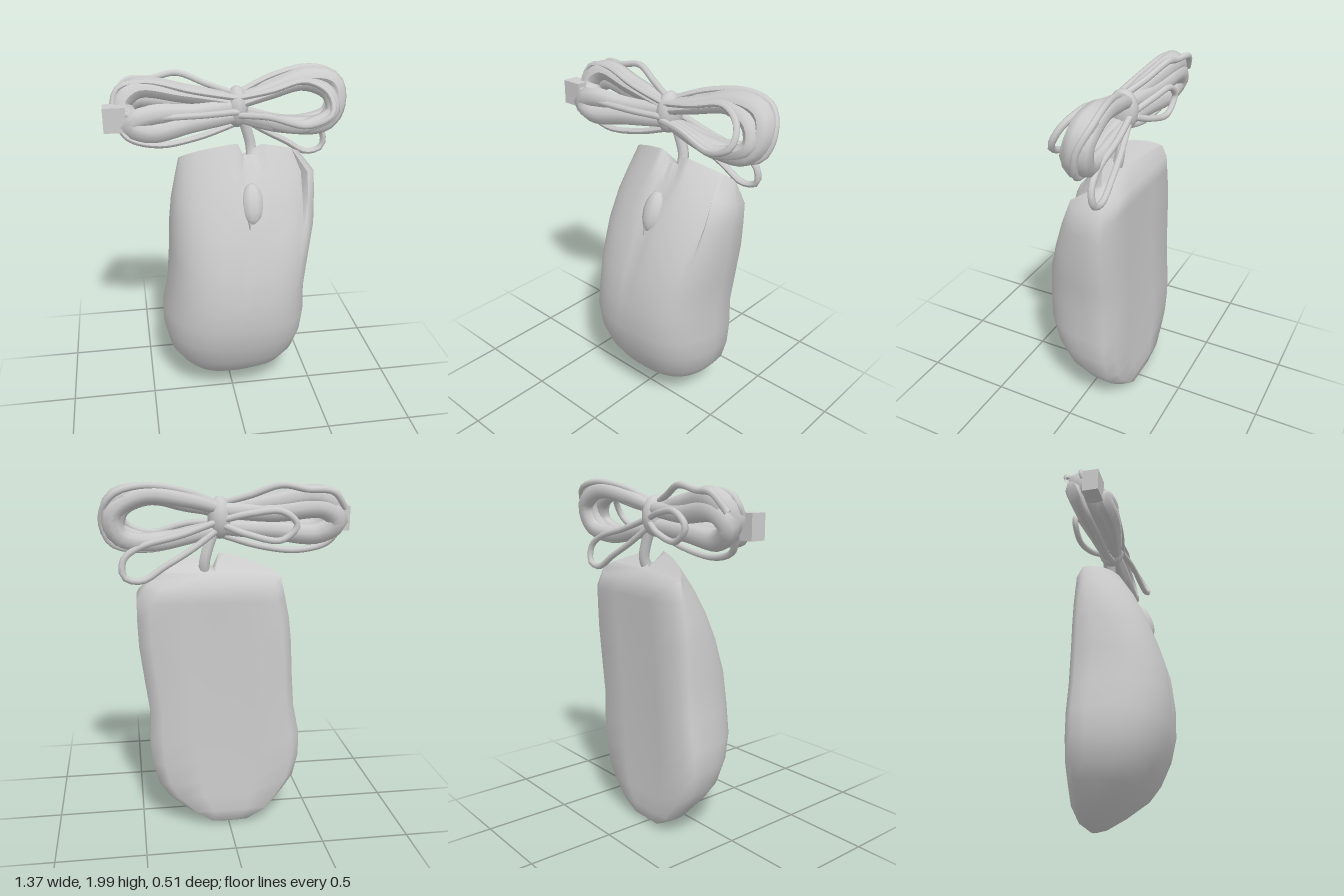
import * as THREE from 'three';
import { toCreasedNormals } from 'three/addons/utils/BufferGeometryUtils.js';

const material = new THREE.MeshStandardMaterial({ color: 0xcccccc, side: THREE.DoubleSide });

function add(group, name, geometry) {
  const mesh = new THREE.Mesh(geometry, material);
  mesh.name = name;
  group.add(mesh);
  return mesh;
}

// Shell cross-sections: [y, xMin, xMax, zFront, zBack, tilt, squareness at -x, squareness at +x]
const SECTIONS = [
  [0.005, -0.05, 0.03, -0.16, -0.20, 0, 2.5, 2.5],
  [0.03, -0.12, 0.12, -0.11, -0.235, 0, 2.5, 2.5],
  [0.10, -0.24, 0.23, -0.01, -0.25, 0, 2.5, 2.7],
  [0.20, -0.32, 0.345, 0.11, -0.25, 0, 2.5, 2.8],
  [0.29, -0.38, 0.405, 0.17, -0.25, 0, 2.5, 2.9],
  [0.42, -0.41, 0.44, 0.225, -0.25, 0, 2.5, 3],
  [0.56, -0.41, 0.45, 0.255, -0.25, 0, 2.5, 3.1],
  [0.73, -0.375, 0.445, 0.255, -0.25, 0, 2.6, 3.1],
  [0.92, -0.36, 0.47, 0.23, -0.25, 0, 2.7, 3.1],
  [1.12, -0.35, 0.495, 0.17, -0.25, 0, 2.6, 2.9],
  [1.25, -0.335, 0.50, 0.11, -0.25, 0.1, 2.3, 2.3],
  [1.36, -0.31, 0.50, 0.04, -0.25, 0.3, 1.9, 1.8],
  [1.45, -0.285, 0.43, -0.055, -0.25, 0.8, 1.4, 1.35],
];

// Domed front, softly bevelled and slightly dished back, with notch, seam and raised side rim
function shellGeometry() {
  const N = 32;
  const pos = [], idx = [];
  const rings = SECTIONS.map(([y, x0, x1, zf, zb, tilt, roundA, roundB], r) => {
    const cx = (x0 + x1) / 2, hw = (x1 - x0) / 2;
    const zs = zb + Math.min(0.045, (zf - zb) * 0.25);
    const top = r === SECTIONS.length - 1;
    const ring = [];
    for (let i = 0; i <= N; i++) {
      const u = Math.cos((i / N) * Math.PI);
      const x = cx + hw * u;
      const rim = u > 0.8 && y > 1 && !top;
      const n = rim ? 3.5 : u < 0 ? roundA : roundB;
      let z = zs + (zf - zs) * Math.max(0, 1 - Math.abs(u) ** n) ** (1 / n);
      if (i === N / 2 && y > 0.75) z -= 0.014;
      const inNotch = Math.abs(x - 0.11) < 0.065;
      if (inNotch && r === SECTIONS.length - 2) z -= 0.02;
      let py = y + tilt * (z - zb);
      if (top && inNotch) py -= 0.065;
      ring.push([x, py, z]);
    }
    const dish = 0.015 * Math.sin(Math.PI * Math.min(1, y / 1.45));
    for (const u of [-0.88, -0.4, 0, 0.4, 0.84]) {
      ring.push([cx + hw * u, y, zb + dish * (1 - Math.abs(u)) ]);
    }
    return ring;
  });
  const M = rings[0].length;
  rings.forEach((ring) => ring.forEach((p) => pos.push(...p)));
  for (let r = 0; r < rings.length - 1; r++) {
    for (let j = 0; j < M; j++) {
      const k = (j + 1) % M, a = r * M, b = a + M;
      idx.push(a + j, b + j, a + k, a + k, b + j, b + k);
    }
  }
  // End caps
  for (const r of [0, rings.length - 1]) {
    const c = [0, 1, 2].map((d) => rings[r].reduce((s, p) => s + p[d], 0) / M);
    const ci = pos.length / 3;
    if (r) c[1] -= 0.02;
    pos.push(...c);
    for (let j = 0; j < M; j++) {
      const a = r * M + j, b = r * M + ((j + 1) % M);
      if (r) idx.push(ci, b, a);
      else idx.push(ci, a, b);
    }
  }
  const g = new THREE.BufferGeometry();
  g.setAttribute('position', new THREE.Float32BufferAttribute(pos, 3));
  g.setIndex(idx);
  return toCreasedNormals(g, 1.2);
}

// Cord strand: a tube pinched at both ends and scaled in z
function strand(points, radius, pinch = 1, depth = 1) {
  const curve = new THREE.CatmullRomCurve3(points.map((p) => new THREE.Vector3(...p)));
  const seg = 36, sides = 8;
  const g = new THREE.TubeGeometry(curve, seg, radius, sides);
  const p = g.attributes.position, v = new THREE.Vector3();
  for (let i = 0; i <= seg; i++) {
    const c = curve.getPointAt(i / seg);
    const s = pinch + (1 - pinch) * Math.sin((i / seg) * Math.PI) ** 0.7;
    for (let j = 0; j <= sides; j++) {
      const n = i * (sides + 1) + j;
      v.fromBufferAttribute(p, n).sub(c).multiplyScalar(s);
      v.z *= depth;
      v.add(c);
      p.setXYZ(n, v.x, v.y, v.z);
    }
  }
  g.computeVertexNormals();
  return g;
}

export function createModel() {
  const model = new THREE.Group();

  // Mouse body
  const mouse = new THREE.Group();
  mouse.name = 'mouse';
  model.add(mouse);
  add(mouse, 'shell', shellGeometry());

  // Wheel hump with its pointed surround
  const wheel = add(mouse, 'scrollWheel', new THREE.SphereGeometry(1, 10, 8));
  wheel.scale.set(0.065, 0.12, 0.055);
  wheel.rotation.x = -0.35;
  wheel.position.set(0.1, 1.29, 0.08);
  const surround = add(mouse, 'wheelSurround', new THREE.ConeGeometry(0.06, 0.12, 4));
  surround.rotation.x = Math.PI - 0.4;
  surround.scale.z = 0.4;
  surround.position.set(0.08, 1.19, 0.125);
  add(mouse, 'cordExit', strand([[0.12, 1.44, -0.09], [0.125, 1.56, -0.13], [0.1, 1.66, -0.13], [0.06, 1.76, -0.12]], 0.03));

  // Folded cord, gathered at a knot
  const cord = new THREE.Group();
  cord.name = 'cordBundle';
  model.add(cord);
  const K = (dy, z) => [0.04, 1.79 + dy, z];

  // Thick folds: [path, radius, depth]
  const folds = [
    // towards -x
    [[K(0.04, -0.1), [-0.25, 1.88, -0.13], [-0.5, 1.91, -0.16], [-0.59, 1.83, -0.13], [-0.5, 1.73, -0.07], [-0.25, 1.74, -0.06], K(-0.03, -0.09)], 0.062, 1.15],
    [[K(0.05, -0.14), [-0.25, 1.83, -0.16], [-0.52, 1.85, -0.18], [-0.6, 1.78, -0.16], [-0.5, 1.71, -0.13], [-0.25, 1.73, -0.13], K(-0.04, -0.13)], 0.06, 0.9],
    [[K(0.02, -0.08), [-0.22, 1.79, -0.05], [-0.43, 1.8, -0.01], [-0.55, 1.75, -0.02], [-0.45, 1.71, 0], [-0.22, 1.74, -0.03], K(-0.03, -0.08)], 0.058, 0.9],
    // towards +x
    [[K(0.05, -0.1), [0.22, 1.88, -0.13], [0.43, 1.94, -0.17], [0.59, 1.91, -0.17], [0.62, 1.8, -0.15], [0.55, 1.69, -0.12], [0.3, 1.69, -0.1], K(-0.04, -0.1)], 0.055, 1.2],
    [[K(0.06, -0.14), [0.22, 1.9, -0.17], [0.46, 1.93, -0.2], [0.61, 1.84, -0.2], [0.58, 1.72, -0.18], [0.4, 1.68, -0.15], [0.2, 1.71, -0.14], K(-0.05, -0.13)], 0.05, 0.9],
    [[K(0.03, -0.07), [0.22, 1.87, -0.09], [0.42, 1.91, -0.12], [0.56, 1.85, -0.11], [0.58, 1.75, -0.09], [0.4, 1.68, -0.07], [0.2, 1.72, -0.07], K(-0.03, -0.08)], 0.042, 1],
  ];
  folds.forEach(([pts, r, depth]) => add(cord, 'cordFold', strand(pts, r, 0.6, depth)));

  // Single cords lying loose around the folds
  const loose = [
    [K(0.08, -0.1), [-0.12, 1.92, -0.16], [-0.28, 1.975, -0.21], [-0.42, 1.95, -0.21], [-0.55, 1.94, -0.23], [-0.63, 1.85, -0.2]],
    [K(0.07, -0.06), [-0.2, 1.9, -0.08], [-0.45, 1.95, -0.12], [-0.6, 1.92, -0.13], [-0.63, 1.83, -0.1], [-0.52, 1.8, 0], [-0.2, 1.79, 0], K(0, -0.04)],
    [K(-0.08, -0.1), [-0.18, 1.64, -0.09], [-0.4, 1.61, -0.08], [-0.56, 1.65, -0.1], [-0.62, 1.73, -0.13]],
    [K(0.07, -0.06), [0.22, 1.89, -0.06], [0.42, 1.93, -0.08], [0.54, 1.87, -0.03], [0.55, 1.77, 0.02], [0.42, 1.71, 0.02], [0.2, 1.76, -0.01], K(-0.02, -0.04)],
    [K(0.08, -0.12), [0.25, 1.95, -0.17], [0.46, 1.98, -0.22], [0.6, 1.94, -0.23], [0.665, 1.82, -0.18], [0.62, 1.68, -0.15], [0.45, 1.64, -0.13], [0.2, 1.68, -0.12], K(-0.06, -0.13)],
    [K(-0.04, -0.15), [0.2, 1.64, -0.18], [0.34, 1.56, -0.2], [0.47, 1.485, -0.21], [0.56, 1.51, -0.21], [0.56, 1.6, -0.2], [0.48, 1.66, -0.19], [0.25, 1.72, -0.18], K(0, -0.16)],
    [K(0, -0.16), [-0.12, 1.83, -0.21], [-0.28, 1.84, -0.235], [-0.36, 1.77, -0.235], [-0.28, 1.69, -0.23], [-0.1, 1.72, -0.21], K(-0.02, -0.16)],
  ];
  loose.forEach((pts) => add(cord, 'looseCord', strand(pts, 0.018)));

  // Tight knot in the middle
  const knot = add(cord, 'knot', new THREE.SphereGeometry(1, 12, 10));
  knot.scale.set(0.065, 0.115, 0.085);
  knot.position.set(0.04, 1.8, -0.11);

  // Plug at the cord's end
  const plug = add(cord, 'plug', new THREE.BoxGeometry(0.12, 0.135, 0.09));
  plug.position.set(-0.63, 1.78, -0.05);

  return model;
}
